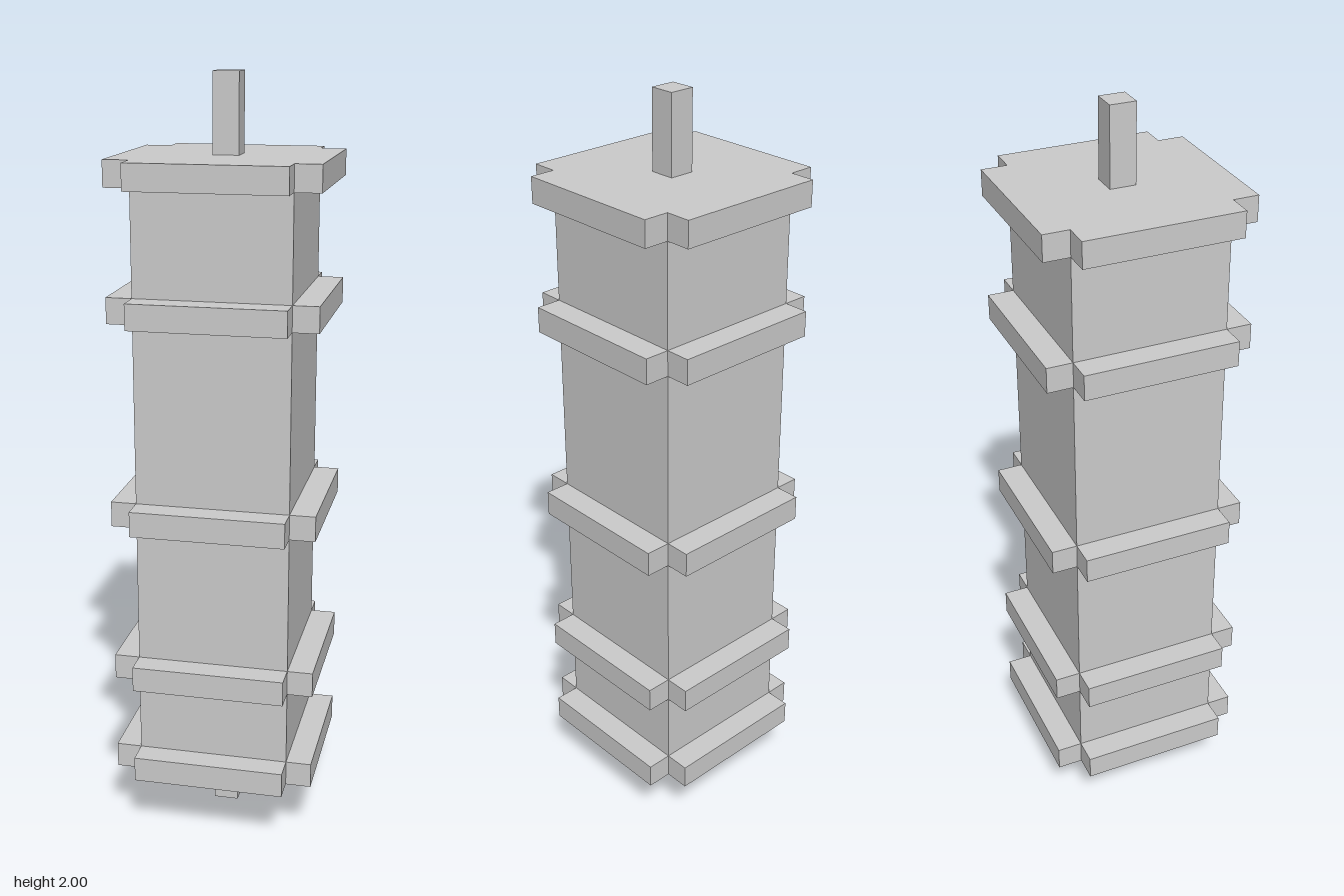
import * as THREE from 'three';

export function createModel() {
  const model = new THREE.Group();
  model.name = 'bandedPillar';
  const material = new THREE.MeshStandardMaterial({ color: 0xcccccc, flatShading: true });

  const U = 1 / 15; // thickness of bands and pegs
  const WIDTH = 0.4;
  const BOTTOM = 2.5 * U;
  const TOP = 1.8;

  // Square-based block standing between two heights
  function block(name, width, y0, y1) {
    const mesh = new THREE.Mesh(new THREE.BoxGeometry(width, y1 - y0, width), material);
    mesh.name = name;
    mesh.position.y = (y0 + y1) / 2;
    model.add(mesh);
  }

  // Main column with a peg at each end
  block('column', WIDTH, BOTTOM, TOP);
  block('bottomPeg', U, 0, BOTTOM);
  block('topPeg', U, TOP, 2);

  // Bands: four strips, one on each side, leaving the corners open
  const stripGeometry = new THREE.BoxGeometry(WIDTH, U, U);
  [2.5, 6.5, 13, 21, 26].forEach((base, i) => {
    const band = new THREE.Group();
    band.name = `band${i + 1}`;
    band.position.y = (base + 0.5) * U;
    ['front', 'left', 'back', 'right'].forEach((side, k) => {
      const angle = (k * Math.PI) / 2;
      const strip = new THREE.Mesh(stripGeometry, material);
      strip.name = `${side}Strip`;
      strip.rotation.y = angle;
      const reach = (WIDTH + U) / 2;
      strip.position.set(Math.sin(angle) * reach, 0, Math.cos(angle) * reach);
      band.add(strip);
    });
    model.add(band);
  });

  return model;
}
